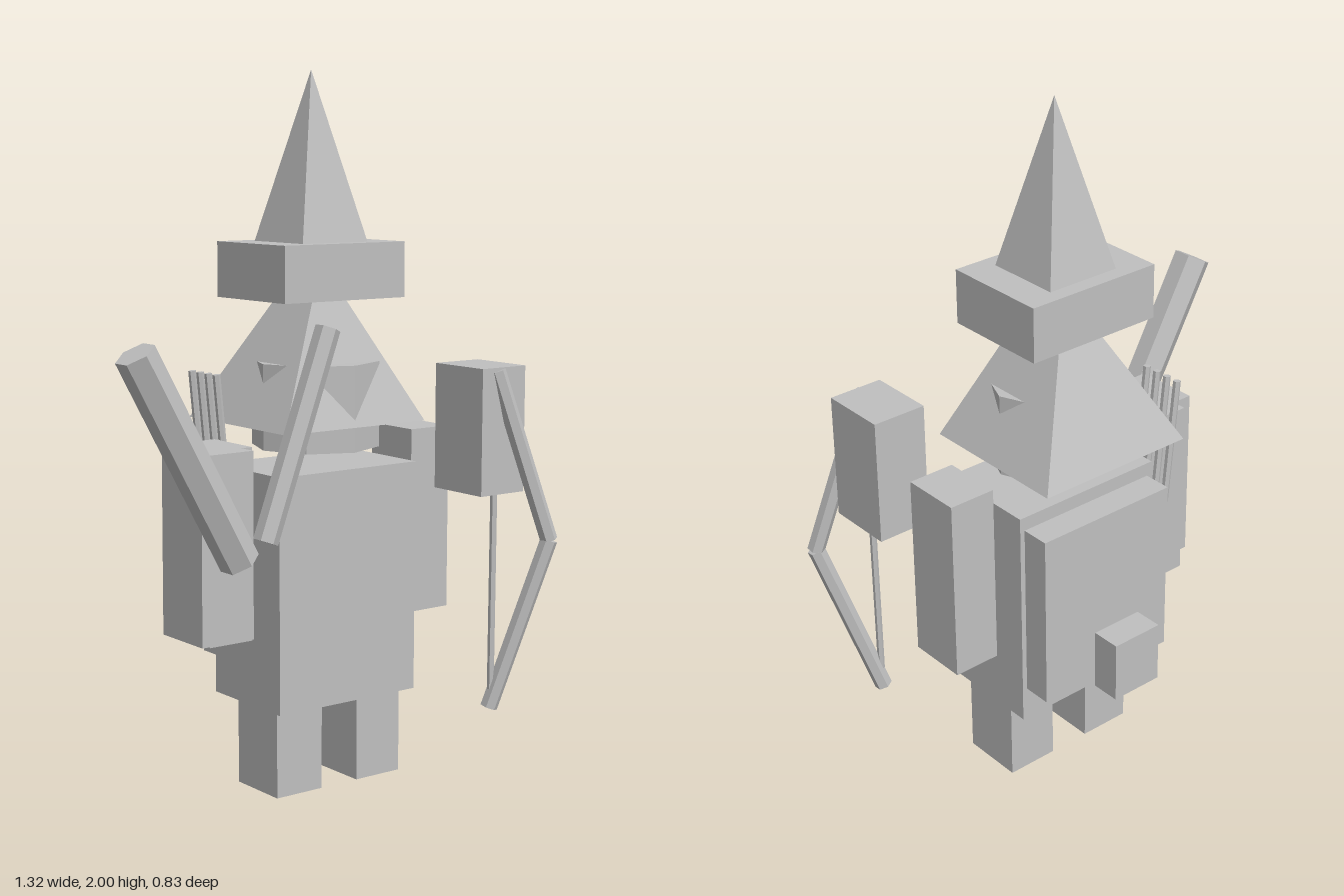
import * as THREE from 'three';

const gray = new THREE.MeshStandardMaterial({ color: 0xbfbfbf, flatShading: true });
gray.name = 'plain gray';

export function createModel() {
  const model = new THREE.Group();
  model.name = 'archerFigure';

  const add = (name, geometry) => {
    const mesh = new THREE.Mesh(geometry, gray);
    mesh.name = name;
    model.add(mesh);
    return mesh;
  };

  // Box given by its extents on each axis
  const block = (name, [x0, x1], [y0, y1], [z0, z1]) => {
    const mesh = add(name, new THREE.BoxGeometry(x1 - x0, y1 - y0, z1 - z0));
    mesh.position.set((x0 + x1) / 2, (y0 + y1) / 2, (z0 + z1) / 2);
  };

  // Six-sided rod between two points
  const rod = (name, a, b, radius) => {
    const from = new THREE.Vector3(...a), to = new THREE.Vector3(...b);
    const dir = to.clone().sub(from);
    const mesh = add(name, new THREE.CylinderGeometry(radius, radius, dir.length(), 6));
    mesh.position.copy(from).add(to).multiplyScalar(0.5);
    mesh.quaternion.setFromUnitVectors(new THREE.Vector3(0, 1, 0), dir.normalize());
  };

  // Body, legs and pack
  block('body', [-0.142, 0.335], [0.25, 0.91], [-0.145, 0.162]);
  block('rightLeg', [-0.12, 0.035], [0, 0.25], [-0.065, 0.12]);
  block('leftLeg', [0.16, 0.315], [0, 0.25], [-0.065, 0.12]);
  block('backPack', [-0.125, 0.32], [0.35, 0.87], [-0.23, -0.145]);
  block('floatingPouch', [0.075, 0.23], [0.42, 0.595], [-0.415, -0.33]);

  // Arms
  block('leftArm', [0.375, 0.515], [0.455, 0.99], [-0.083, 0.095]);
  block('leftForearm', [0.437, 0.597], [0.82, 1.18], [0.127, 0.326]);
  block('rightArm', [-0.325, -0.185], [0.455, 0.99], [-0.083, 0.095]);
  block('rightForearm', [-0.387, -0.22], [0.475, 0.99], [-0.04, 0.15]);

  // Eight-sided head
  add('head', new THREE.CylinderGeometry(0.18, 0.18, 0.24, 8)).position.set(0.095, 1.08, 0.008);

  // Hair: a box whose top is drawn in toward the hat
  const hair = new THREE.BoxGeometry(1, 1, 1);
  const p = hair.attributes.position;
  for (let i = 0; i < p.count; i++) {
    const right = p.getX(i) > 0, top = p.getY(i) > 0, front = p.getZ(i) > 0;
    if (top) p.setXYZ(i, right ? 0.143 : 0.047, 1.39, front ? 0.063 : -0.09);
    else p.setXYZ(i, right ? 0.338 : -0.148, 1.03, front ? 0.195 : -0.263);
  }
  hair.computeVertexNormals();
  add('hair', hair);

  // Pointed hat
  block('hatBrim', [-0.112, 0.302], [1.375, 1.53], [-0.172, 0.145]);
  const point = new THREE.ConeGeometry(0.112 * Math.SQRT2, 0.47, 4).rotateY(Math.PI / 4);
  add('hatPoint', point).position.set(0.095, 1.765, -0.014);

  // Bow and string
  const grip = [0.637, 0.685, 0.393];
  rod('upperBowLimb', [0.5, 1.17, 0.315], grip, 0.025);
  rod('lowerBowLimb', grip, [0.495, 0.2, 0.307], 0.025);
  rod('bowString', [0.5, 1.17, 0.31], [0.497, 0.2, 0.31], 0.01);

  // Raised rods by the right hand
  rod('largeRod', [-0.304, 0.706, 0.205], [-0.622, 1.278, 0.205], 0.055);
  rod('smallRod', [-0.22, 0.751, 0.205], [-0.013, 1.31, 0.205], 0.035);

  // Row of arrows at the back
  for (let i = 0; i < 4; i++) {
    const z = -0.196 + i * 0.04;
    rod('arrow', [-0.145, 0.8, z], [-0.183, 1.17, z], 0.011);
  }
  return model;
}
